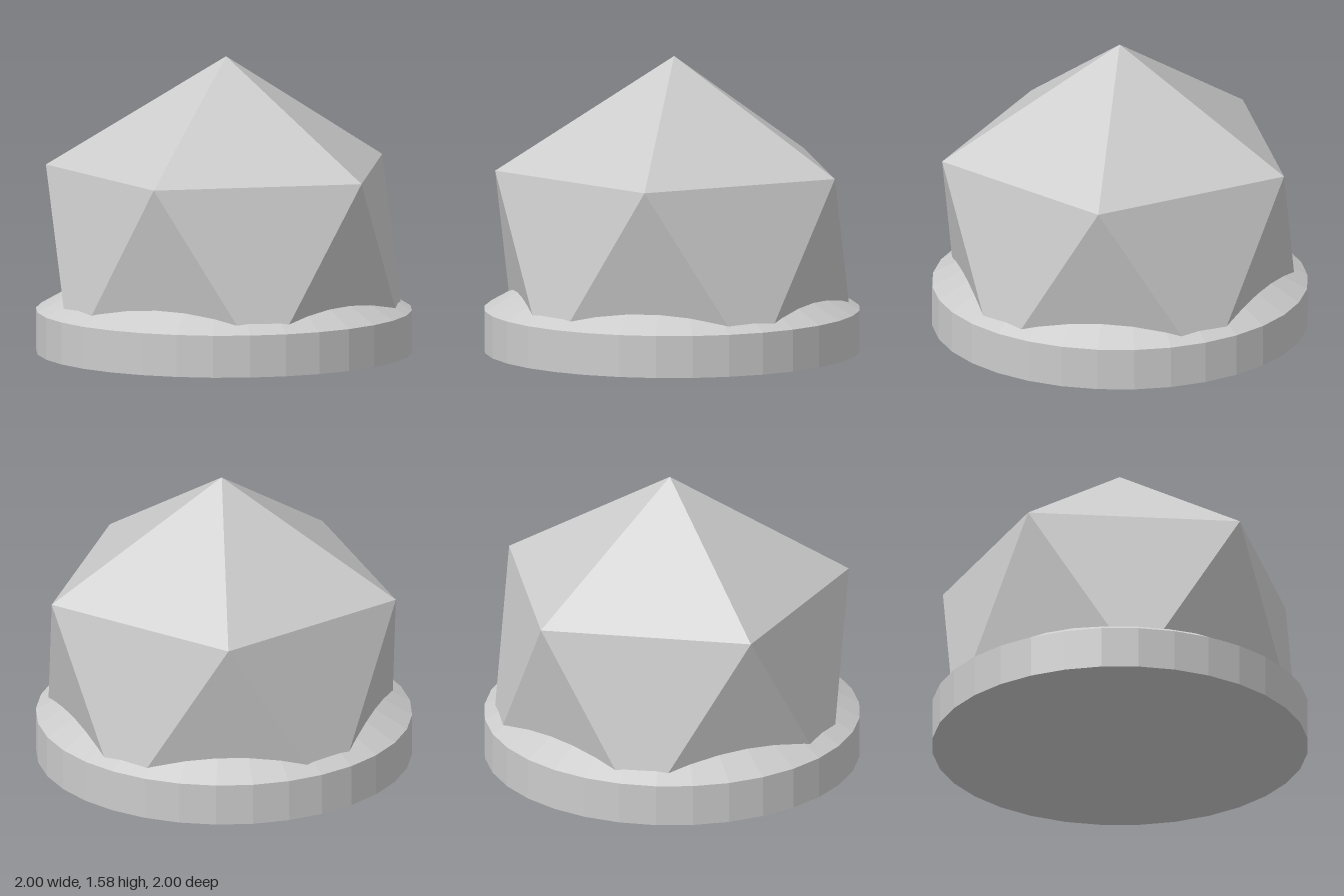
import * as THREE from 'three';
import { ConvexGeometry } from 'three/addons/geometries/ConvexGeometry.js';

const material = new THREE.MeshStandardMaterial({ color: 0xcccccc, flatShading: true });

// Five corners of a level pentagon
function pentagon(radius, y, turn) {
  return Array.from({ length: 5 }, (_, i) => {
    const a = turn + (i * Math.PI * 2) / 5;
    return new THREE.Vector3(radius * Math.cos(a), y, radius * Math.sin(a));
  });
}

export function createModel() {
  const group = new THREE.Group();

  // Round base with a sloping rim
  const profile = [[0, 0], [1, 0], [1, 0.225], [0.8, 0.337], [0, 0.337]]
    .map(([r, y]) => new THREE.Vector2(r, y));
  const base = new THREE.Mesh(new THREE.LatheGeometry(profile, 32), material);
  base.name = 'base';
  group.add(base);

  // Icosahedral gem standing on a corner, its lower cap cut off inside the base
  const R = 1.075;
  const centre = 0.505;
  const ring = (2 * R) / Math.sqrt(5);
  const rise = R / Math.sqrt(5);
  const gem = new THREE.Mesh(new ConvexGeometry([
    new THREE.Vector3(0, centre + R, 0),
    ...pentagon(ring, centre + rise, 0),
    ...pentagon(ring, centre - rise, Math.PI),
  ]), material);
  gem.name = 'gem';
  gem.position.x = 0.013;
  group.add(gem);

  return group;
}
